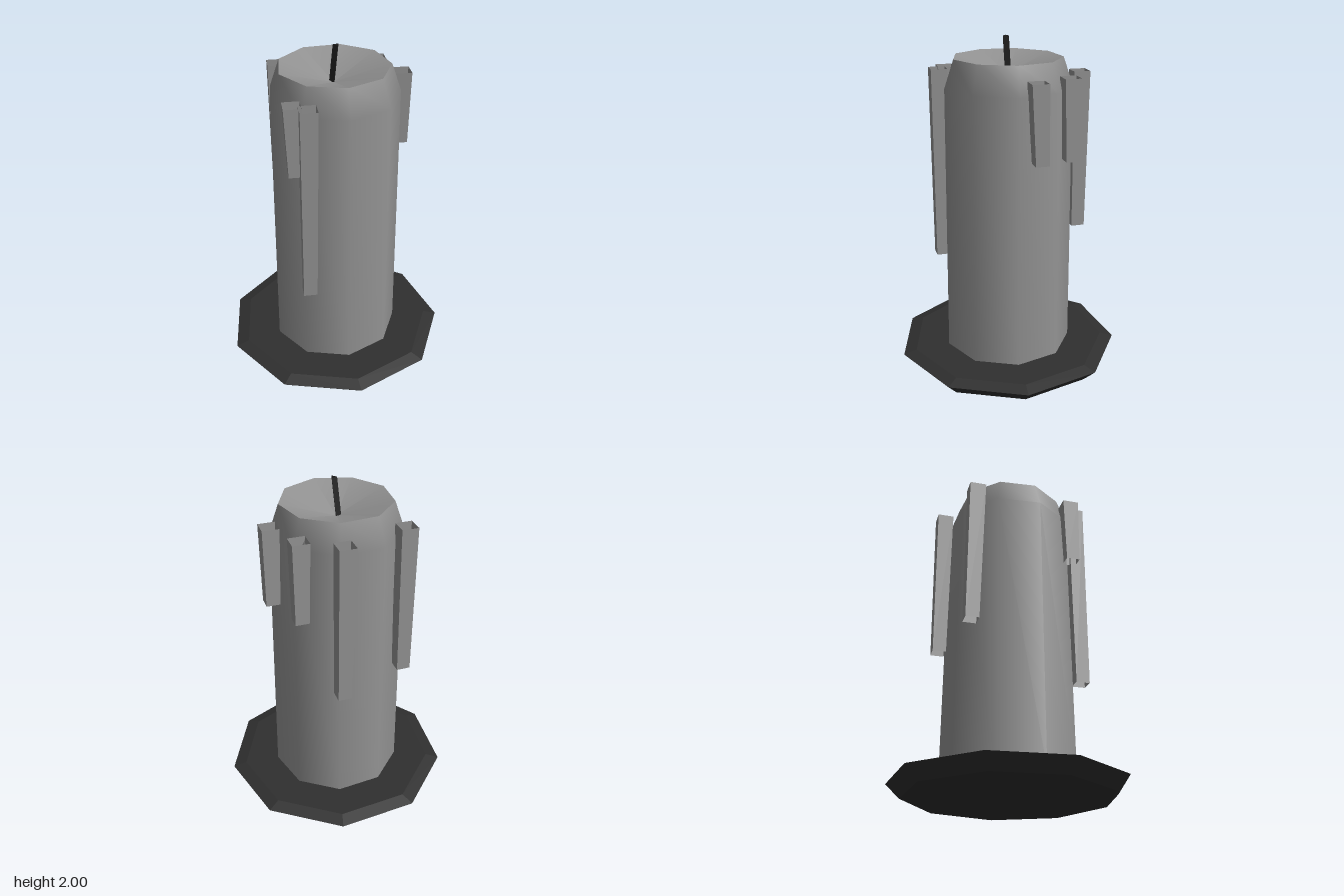
import * as THREE from 'three';

const SIDES = 9;
const CENTRE_X = -0.02;

export function createModel() {
  const wax = new THREE.MeshStandardMaterial({ color: 0x929292 });
  const waxDrip = wax.clone();
  waxDrip.side = THREE.DoubleSide;
  const iron = new THREE.MeshStandardMaterial({ color: 0x2f2f2f, flatShading: true });
  const char = new THREE.MeshStandardMaterial({ color: 0x252525, flatShading: true, side: THREE.DoubleSide });
  wax.name = 'wax';
  waxDrip.name = 'wax';
  waxDrip.flatShading = true;
  iron.name = 'darkIron';
  char.name = 'charredWick';

  const group = new THREE.Group();
  const add = (name, geometry, material, x = 0) => {
    const mesh = new THREE.Mesh(geometry, material);
    mesh.name = name;
    mesh.position.x = x;
    group.add(mesh);
    return mesh;
  };

  // Nine-sided turned shape with a corner on the x axis
  const turned = (profile) => new THREE.LatheGeometry(
    profile.map(([r, y]) => new THREE.Vector2(r, y)), SIDES, Math.PI / 2);

  // Open tube with level ends, leaning from its bottom centre to its top centre
  const leaningTube = (bottom, top, rBottom, rTop, sides, turn = 0) => {
    const [bx, by, bz] = bottom;
    const [tx, ty, tz] = top;
    const g = new THREE.CylinderGeometry(rTop, rBottom, 1, sides, 1, true);
    g.rotateY(turn);
    const p = g.attributes.position;
    for (let i = 0; i < p.count; i++) {
      const t = p.getY(i) + 0.5;
      p.setXYZ(i,
        p.getX(i) + bx + (tx - bx) * t,
        by + (ty - by) * t,
        p.getZ(i) + bz + (tz - bz) * t);
    }
    g.computeVertexNormals();
    return g;
  };

  // Dish, candle body and hollow melted top
  add('dish', turned([[0, 0], [0.6, 0], [0.68, 0.08], [0.6, 0.1], [0, 0.1]]), iron, CENTRE_X);
  add('candleBody', turned([[0.39, 0.08], [0.376, 1.72], [0.32, 1.88]]), wax, CENTRE_X);
  add('meltedTop', turned([[0.32, 1.88], [0, 1.78]]), wax, CENTRE_X);

  // Three-sided leaning wick
  add('wick', leaningTube([-0.03, 1.77, 0], [-0.003, 2, 0], 0.02, 0.02, 3, Math.PI), char);

  // Wax drips: top x, z, then bottom x, y, z
  const drips = [
    [-0.432, 0.01, -0.445, 0.91, 0.0],
    [0.01, 0.41, 0.022, 1.4, 0.41],
    [0.107, 0.395, 0.1, 0.63, 0.405],
    [-0.243, -0.35, -0.24, 0.86, -0.357],
    [-0.007, -0.408, -0.013, 1.33, -0.418],
    [0.218, -0.325, 0.21, 1.35, -0.342],
  ];
  for (const [tx, tz, bx, by, bz] of drips) {
    add('waxDrip', leaningTube([bx, by, bz], [tx, 1.8, tz], 0.056, 0.068, 4), waxDrip);
  }
  return group;
}
